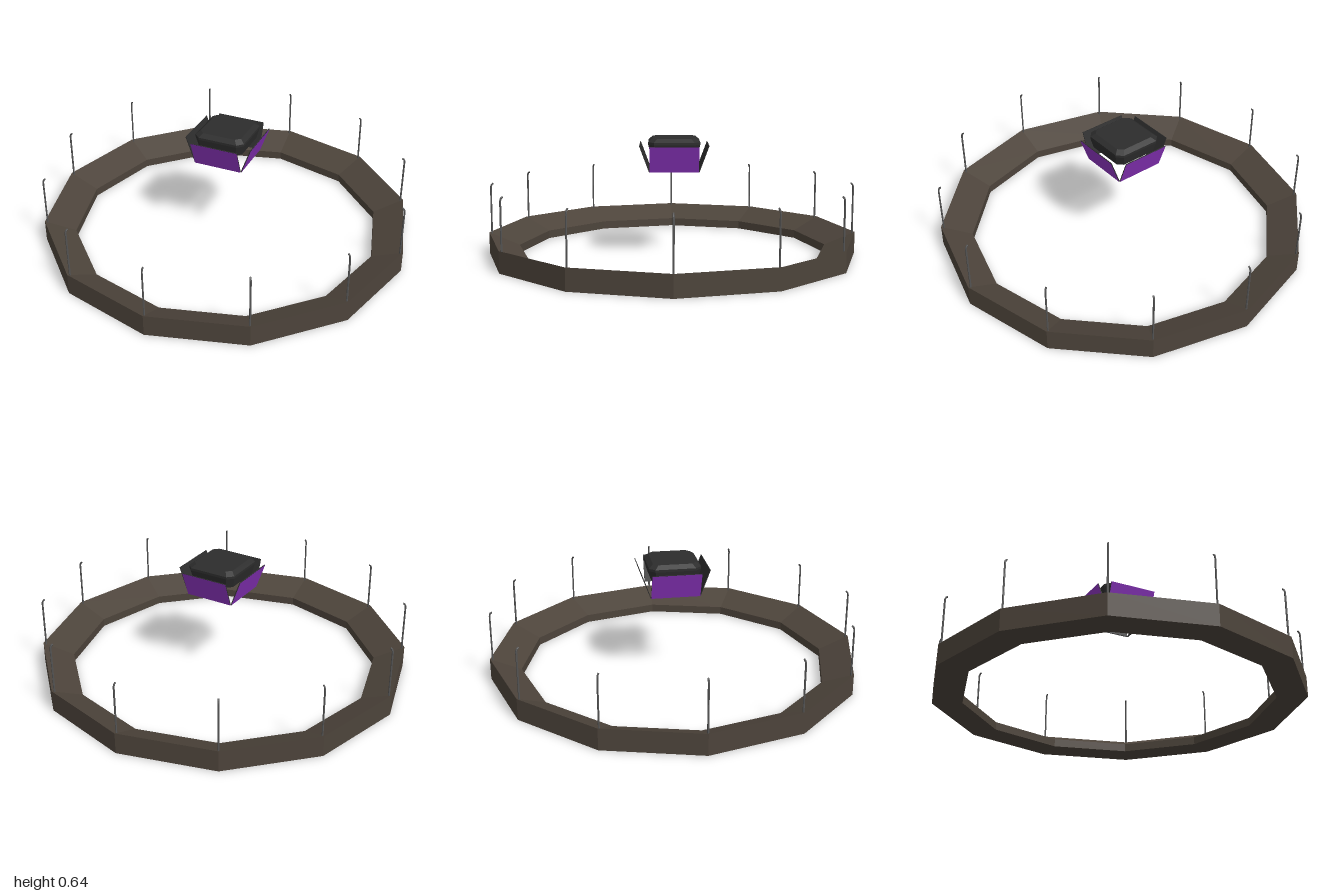
import * as THREE from 'three';

const mat = (color, extra = {}) => {
  const m = new THREE.MeshStandardMaterial({ color, flatShading: true, ...extra });
  return m;
};

function add(parent, name, geometry, material) {
  const mesh = new THREE.Mesh(geometry, material);
  mesh.name = name;
  parent.add(mesh);
  return mesh;
}

const points = (list) => list.map(([x, y]) => new THREE.Vector2(x, y));

export function createModel() {
  const model = new THREE.Group();
  const brown = mat(0x4d443b);
  const metal = mat(0x555555, { side: THREE.DoubleSide });
  const dark = mat(0x2d2d2d);
  const purple = mat(0x8e35c2);

  // Twelve-sided ring whose top slopes down towards the middle
  const profile = points([[0.835, 0], [1, 0], [1, 0.115], [0.835, 0.045], [0.835, 0]]);
  add(model, 'baseRing', new THREE.LatheGeometry(profile, 12), brown);

  // Thin posts on the ring corners, tips bent inwards
  const path = new THREE.CurvePath();
  const base = new THREE.Vector3(0.985, 0.1, 0);
  const bend = new THREE.Vector3(0.985, 0.36, 0);
  path.add(new THREE.LineCurve3(base, bend));
  path.add(new THREE.QuadraticBezierCurve3(
    bend, new THREE.Vector3(0.985, 0.38, 0), new THREE.Vector3(0.972, 0.385, 0)));
  const postGeometry = new THREE.TubeGeometry(path, 30, 0.005, 6);
  for (let i = 0; i < 12; i++) {
    add(model, 'post', postGeometry, metal).rotation.y = (i * Math.PI) / 6;
  }

  // Floating head
  const head = new THREE.Group();
  head.name = 'floatingHead';
  head.position.z = -0.01;
  model.add(head);

  // Cap: an eight-sided lathe reshaped into a square with cut corners
  const cap = new THREE.LatheGeometry(
    points([[0, 0.55], [0.125, 0.55], [0.138, 0.605], [0.138, 0.618], [0.115, 0.637], [0, 0.637]]),
    8, Math.PI / 8);
  const pos = cap.attributes.position;
  const long = 1 / Math.cos(Math.PI / 8);
  const short = 0.78 / Math.sin(Math.PI / 8);
  for (let i = 0; i < pos.count; i++) {
    const x = pos.getX(i), z = pos.getZ(i);
    const xIsLong = Math.abs(x) > Math.abs(z);
    pos.setX(i, x * (xIsLong ? long : short));
    pos.setZ(i, z * (xIsLong ? short : long));
  }
  add(head, 'cap', cap, dark);

  // Four flared side panels, coloured outside and dark inside
  const height = Math.hypot(0.14, 0.052);
  const backing = new THREE.BoxGeometry(0.262, height, 0.004);
  const face = new THREE.PlaneGeometry(0.262, height);
  for (let i = 0; i < 4; i++) {
    const side = new THREE.Group();
    side.name = 'sidePanel';
    side.rotation.y = (i * Math.PI) / 2;
    head.add(side);
    const panel = new THREE.Group();
    panel.name = 'flaredPanel';
    panel.position.set(0, 0.531, 0.158);
    panel.rotation.x = Math.atan2(0.052, 0.14);
    side.add(panel);
    add(panel, 'panelBacking', backing, dark);
    add(panel, 'panelFace', face, purple).position.z = 0.003;
  }
  return model;
}
